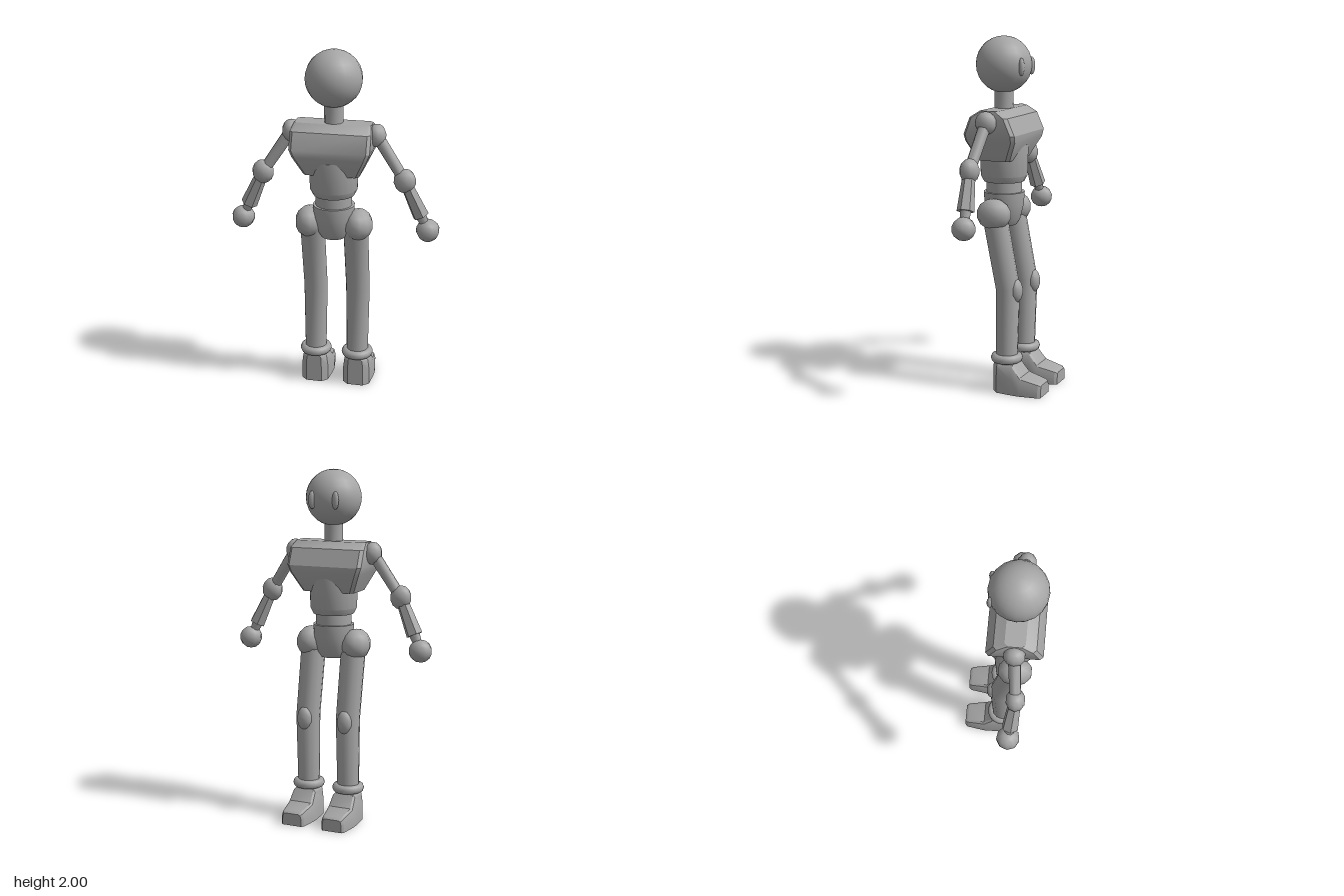
import * as THREE from 'three';
import { toCreasedNormals } from 'three/addons/utils/BufferGeometryUtils.js';

const grey = new THREE.MeshStandardMaterial({ color: 0xa6a6a6 });
grey.name = 'grey';

function add(parent, name, geometry) {
  const mesh = new THREE.Mesh(geometry, grey);
  mesh.name = name;
  parent.add(mesh);
  return mesh;
}

// Skin a list of equal-length rings of [x, y, z] points, closing both ends.
function loft(rings, crease = 0.5) {
  const n = rings[0].length, pos = rings.flat(2), index = [];
  for (let r = 0; r < rings.length - 1; r++) {
    for (let i = 0; i < n; i++) {
      const a = r * n + i, b = r * n + (i + 1) % n;
      index.push(a, b, b + n, a, b + n, a + n);
    }
  }
  const last = (rings.length - 1) * n;
  for (let i = 1; i < n - 1; i++) index.push(0, i + 1, i, last, last + i, last + i + 1);
  const g = new THREE.BufferGeometry();
  g.setAttribute('position', new THREE.Float32BufferAttribute(pos, 3));
  g.setIndex(index);
  return toCreasedNormals(g, crease);
}

// Horizontal rings for a bent round limb: each section is [y, z, radius].
const limb = (sections, sides = 12) => loft(sections.map(([y, z, r]) =>
  Array.from({ length: sides }, (_, i) => {
    const t = (i / sides) * Math.PI * 2;
    return [r * Math.sin(t), y, z + r * Math.cos(t)];
  })), 0.8);

function ball(parent, name, center, radii, w = 10, h = 7) {
  const mesh = add(parent, name, new THREE.SphereGeometry(1, w, h));
  mesh.position.set(...center);
  mesh.scale.set(...radii);
  return mesh;
}

// Straight tapered part between two points.
function rod(parent, name, from, to, rFrom, rTo, sides, crease = 0.9) {
  const a = new THREE.Vector3(...from), b = new THREE.Vector3(...to);
  const dir = b.clone().sub(a);
  const g = new THREE.CylinderGeometry(rTo, rFrom, dir.length(), sides);
  const mesh = add(parent, name, toCreasedNormals(g, crease));
  mesh.position.copy(a).add(b).multiplyScalar(0.5);
  mesh.quaternion.setFromUnitVectors(new THREE.Vector3(0, 1, 0), dir.normalize());
  return mesh;
}

const turned = (points, sides = 20) => toCreasedNormals(
  new THREE.LatheGeometry(points.map(([r, y]) => new THREE.Vector2(r, y)), sides), 0.5);

export function createModel() {
  const model = new THREE.Group();
  model.name = 'figure';
  const Z = 0.075; // depth of the body axis

  // Head and neck
  ball(model, 'head', [0, 1.843, Z], [0.157, 0.157, 0.157], 20, 14);
  rod(model, 'neck', [0, 1.58, Z], [0, 1.72, Z], 0.052, 0.052, 14);

  // Chest: chamfered block, widest at mid-height and tapering below
  const c = 0.018;
  const chest = [[1.32, 0.155, -0.02, 0.17], [1.43, 0.208, -0.076, 0.222],
    [1.47, 0.223, -0.08, 0.226], [1.565, 0.223, -0.038, 0.188], [1.602, 0.212, 0.02, 0.13]];
  add(model, 'chest', loft(chest.map(([y, x, b, f]) => [
    [x - c, y, f], [x, y, f - c], [x, y, b + c], [x - c, y, b],
    [c - x, y, b], [-x, y, b + c], [-x, y, f - c], [c - x, y, f],
  ])));

  // Belly, waist and pelvis
  const trunk = {
    belly: [[0, 1.185], [0.115, 1.19], [0.133, 1.225], [0.138, 1.4], [0, 1.42]],
    waist: [[0, 1.1], [0.102, 1.1], [0.102, 1.2], [0, 1.2]],
    pelvis: [[0, 0.935], [0.07, 0.94], [0.09, 0.97], [0.112, 1.06], [0.117, 1.13], [0, 1.13]],
  };
  for (const [name, points] of Object.entries(trunk)) {
    add(model, name, turned(points)).position.z = Z;
  }

  for (const s of [1, -1]) {
    const side = s > 0 ? 'left' : 'right';

    // Eye, on the -z side of the head
    const eye = ball(model, side + 'Eye', [s * 0.07, 1.835, -0.062], [0.022, 0.05, 0.017], 12, 8);
    eye.rotation.y = s * 0.45;

    // Arm
    const arm = new THREE.Group();
    arm.name = side + 'Arm';
    model.add(arm);
    const shoulder = [s * 0.238, 1.54, Z], elbow = [s * 0.398, 1.3, 0.096], hand = [s * 0.528, 1.012, 0.068];
    ball(arm, 'shoulder', shoulder, [0.052, 0.064, 0.06]);
    rod(arm, 'upperArm', shoulder, elbow, 0.034, 0.031, 10);
    ball(arm, 'elbow', elbow, [0.062, 0.068, 0.054]);
    const at = (t) => elbow.map((v, i) => v + (hand[i] - v) * t);
    rod(arm, 'forearm', at(0.15), at(0.7), 0.036, 0.047, 6, 0.3);
    rod(arm, 'wrist', at(0.7), at(0.95), 0.03, 0.022, 8);
    ball(arm, 'hand', hand, [0.066, 0.064, 0.066], 9, 7);

    // Leg
    const leg = new THREE.Group();
    leg.name = side + 'Leg';
    leg.position.x = s * 0.124;
    model.add(leg);
    ball(leg, 'hip', [s * 0.016, 1.018, Z], [0.082, 0.09, 0.1]);
    add(leg, 'legTube', limb([[0.15, 0.004, 0.062], [0.6, -0.004, 0.069], [0.98, 0.07, 0.071]]));
    ball(leg, 'kneecap', [0, 0.59, -0.055], [0.045, 0.068, 0.037]);
    const ring = add(leg, 'ankleRing', new THREE.TorusGeometry(0.066, 0.026, 8, 20));
    ring.rotation.x = Math.PI / 2;
    ring.position.set(0, 0.194, 0.003);

    // Foot: sections from heel to toe are [z, height, half width at base, half width at top]
    const foot = [[0.067, 0.17, 0.045, 0.042], [0.035, 0.17, 0.078, 0.07], [-0.058, 0.17, 0.085, 0.068],
      [-0.11, 0.105, 0.086, 0.074], [-0.215, 0.08, 0.07, 0.062], [-0.23, 0.07, 0.058, 0.052]];
    add(leg, 'foot', loft(foot.map(([z, h, w, t]) => [
      [-w, 0, z], [-w, h * 0.55, z], [-t, h * 0.92, z], [0.012 - t, h, z],
      [t - 0.012, h, z], [t, h * 0.92, z], [w, h * 0.55, z], [w, 0, z],
    ])));
  }
  return model;
}
